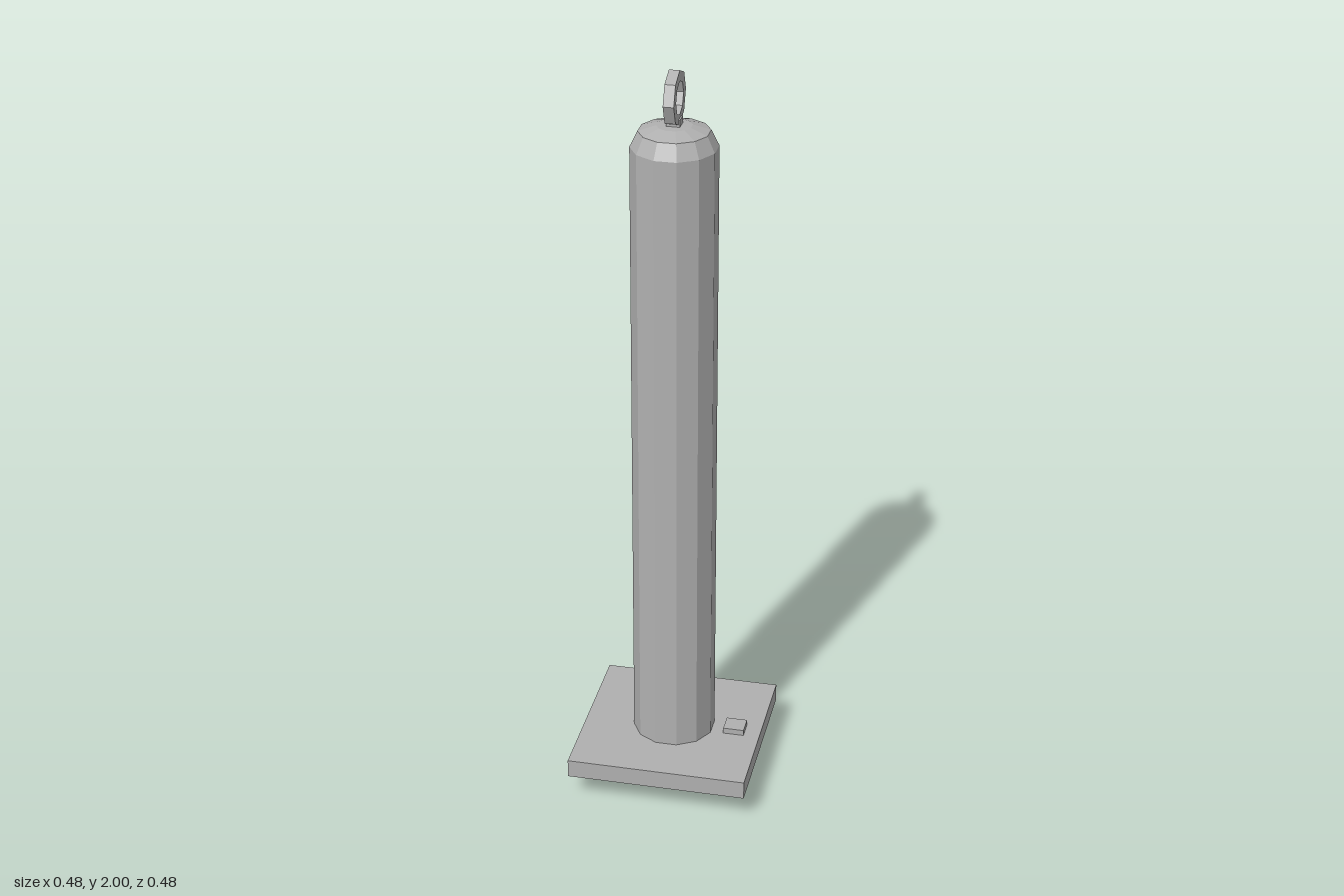
import * as THREE from 'three';

export function createModel() {
  const group = new THREE.Group();
  const steel = new THREE.MeshStandardMaterial({ color: 0xb0b0b0, flatShading: true });
  steel.name = 'grey steel';

  const add = (name, geometry, x = 0, y = 0, z = 0) => {
    const mesh = new THREE.Mesh(geometry, steel);
    mesh.name = name;
    mesh.position.set(x, y, z);
    group.add(mesh);
    return mesh;
  };
  const box = (name, w, h, d, x, y, z) => add(name, new THREE.BoxGeometry(w, h, d), x, y, z);

  // Twelve-sided post with a chamfered shoulder and shallow domed cap
  const profile = [[0, 0], [0.11, 0], [0.11, 1.805], [0.09, 1.846], [0.045, 1.86], [0, 1.862]]
    .map(([r, y]) => new THREE.Vector2(r, y));
  add('post', new THREE.LatheGeometry(profile, 12, Math.PI / 12));

  // Collar plate near the foot, with a small raised tab
  box('collarPlate', 0.48, 0.05, 0.48, 0, 0.096, 0);
  box('plateTab', 0.056, 0.02, 0.052, 0.169, 0.127, -0.002);

  // Stem joining the cap to the lifting eye
  box('eyeStem', 0.035, 0.024, 0.035, 0, 1.867, 0);

  // Octagonal lifting eye, standing in the y-z plane
  const octagon = (r) => Array.from({ length: 8 }, (_, i) =>
    new THREE.Vector2(r * Math.cos(i * Math.PI / 4), r * Math.sin(i * Math.PI / 4)));
  const eyeShape = new THREE.Shape(octagon(0.07));
  eyeShape.holes.push(new THREE.Path(octagon(0.043)));
  const eye = new THREE.ExtrudeGeometry(eyeShape, { depth: 0.027, bevelEnabled: false });
  eye.translate(0, 0, -0.0135).rotateY(Math.PI / 2);
  add('liftingEye', eye, 0, 1.93, 0);

  return group;
}
